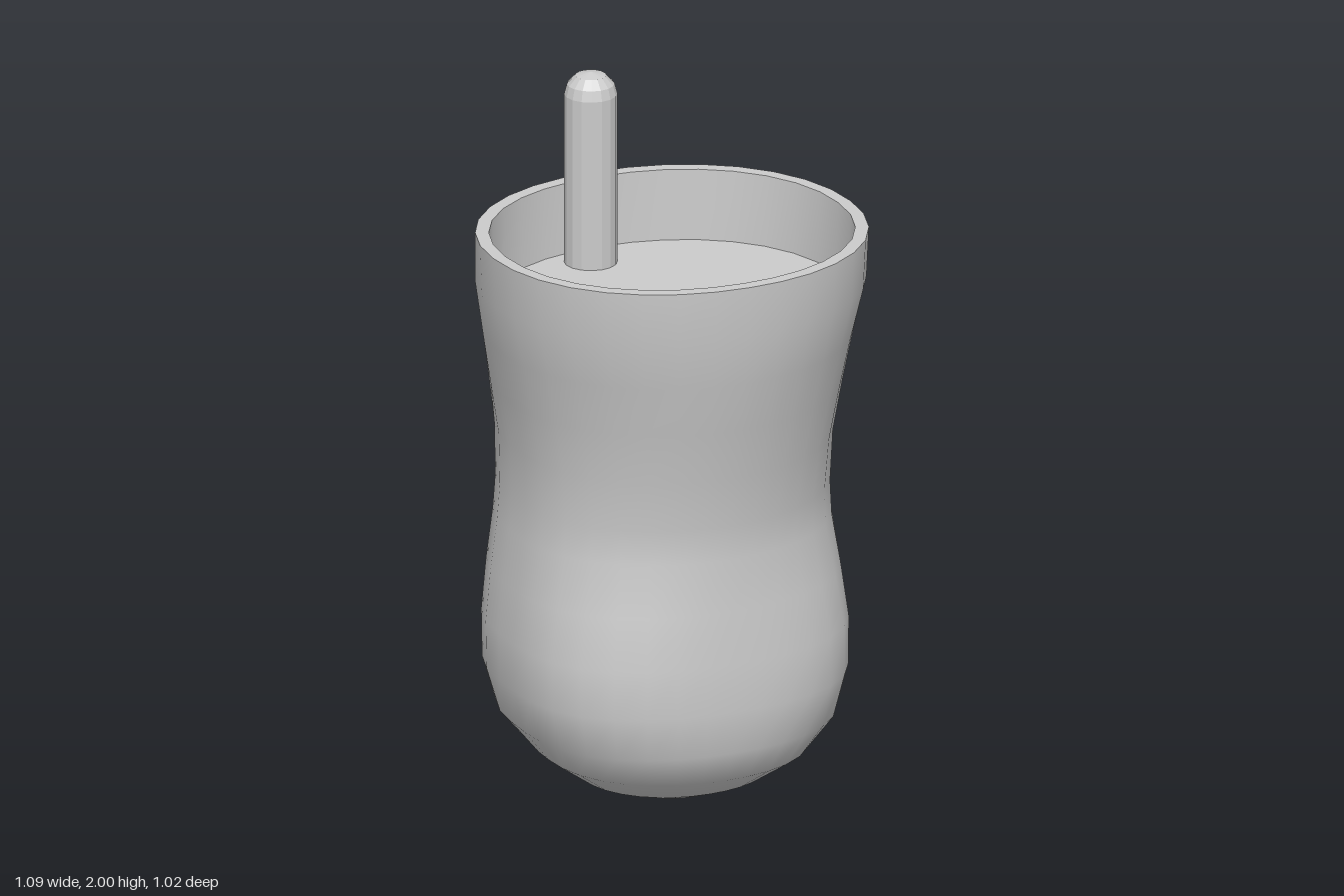
import * as THREE from 'three';

const SEGMENTS = 32;

// Cross-section: [y, half width, front depth, back depth, front squareness, back squareness]
const OUTER = [
  [0.005, 0.0005, 0.0005, 0.0005, 2, 2],
  [0.02, 0.145, 0.14, 0.14, 2, 2.1],
  [0.065, 0.27, 0.25, 0.265, 2.1, 2.4],
  [0.14, 0.375, 0.355, 0.37, 2.2, 2.8],
  [0.235, 0.45, 0.4, 0.42, 2.3, 3.2],
  [0.36, 0.483, 0.412, 0.43, 2.4, 3.5],
  [0.5, 0.485, 0.408, 0.425, 2.4, 3.6],
  [0.65, 0.472, 0.395, 0.41, 2.2, 3.7],
  [0.8, 0.455, 0.385, 0.395, 2, 3.7],
  [0.9, 0.448, 0.388, 0.397, 2, 3.6],
  [1.05, 0.452, 0.413, 0.417, 2, 3.3],
  [1.2, 0.478, 0.445, 0.445, 2, 2.9],
  [1.35, 0.508, 0.48, 0.475, 2, 2.5],
  [1.5, 0.538, 0.505, 0.5, 2.1, 2.25],
  [1.645, 0.545, 0.511, 0.51, 2.1, 2.1],
];
const RIM_INNER = [1.645, 0.508, 0.472, 0.47, 2.1, 2.1];
const FLOOR_EDGE = [1.44, 0.498, 0.463, 0.465, 2.1, 2.1];
const FLOOR_CENTRE = [1.44, 0.0005, 0.0005, 0.0005, 2, 2];

// Lofts a surface through closed super-ellipse rings
function loft(rows) {
  const positions = [], index = [];
  rows.forEach(([y, w, front, back, pFront, pBack], j) => {
    for (let i = 0; i < SEGMENTS; i++) {
      const t = (i / SEGMENTS) * Math.PI * 2;
      const c = Math.cos(t), s = Math.sin(t);
      const depth = s >= 0 ? front : back, p = s >= 0 ? pFront : pBack;
      const r = Math.pow(Math.abs(c / w) ** p + Math.abs(s / depth) ** p, -1 / p);
      positions.push(r * c, y, r * s);
      if (j === 0) continue;
      const k = (i + 1) % SEGMENTS;
      const a = (j - 1) * SEGMENTS + i, b = (j - 1) * SEGMENTS + k;
      const d = j * SEGMENTS + i, e = j * SEGMENTS + k;
      index.push(a, d, b, b, d, e);
    }
  });
  const geometry = new THREE.BufferGeometry();
  geometry.setAttribute('position', new THREE.Float32BufferAttribute(positions, 3));
  geometry.setIndex(index);
  geometry.computeVertexNormals();
  return geometry;
}

export function createModel() {
  const group = new THREE.Group();
  const smooth = new THREE.MeshStandardMaterial({ color: 0xcccccc });
  const faceted = new THREE.MeshStandardMaterial({ color: 0xcccccc, flatShading: true });
  const add = (name, geometry, material) => {
    const mesh = new THREE.Mesh(geometry, material);
    mesh.name = name;
    group.add(mesh);
    return mesh;
  };

  // Rounded body, split from the rim so the edges stay sharp
  add('outerBody', loft(OUTER), smooth);
  add('rim', loft([OUTER[OUTER.length - 1], RIM_INNER]), smooth);
  add('innerWall', loft([RIM_INNER, FLOOR_EDGE]), smooth);
  add('recessedFloor', loft([FLOOR_EDGE, FLOOR_CENTRE]), smooth);

  // Round-topped pin standing on the floor near the back
  const profile = [[0.074, 1.44], [0.074, 1.935], [0.066, 1.965], [0.043, 1.99], [0, 2]]
    .map(([r, y]) => new THREE.Vector2(r, y));
  add('pin', new THREE.LatheGeometry(profile, 16), faceted).position.set(-0.076, 0, -0.368);

  return group;
}
